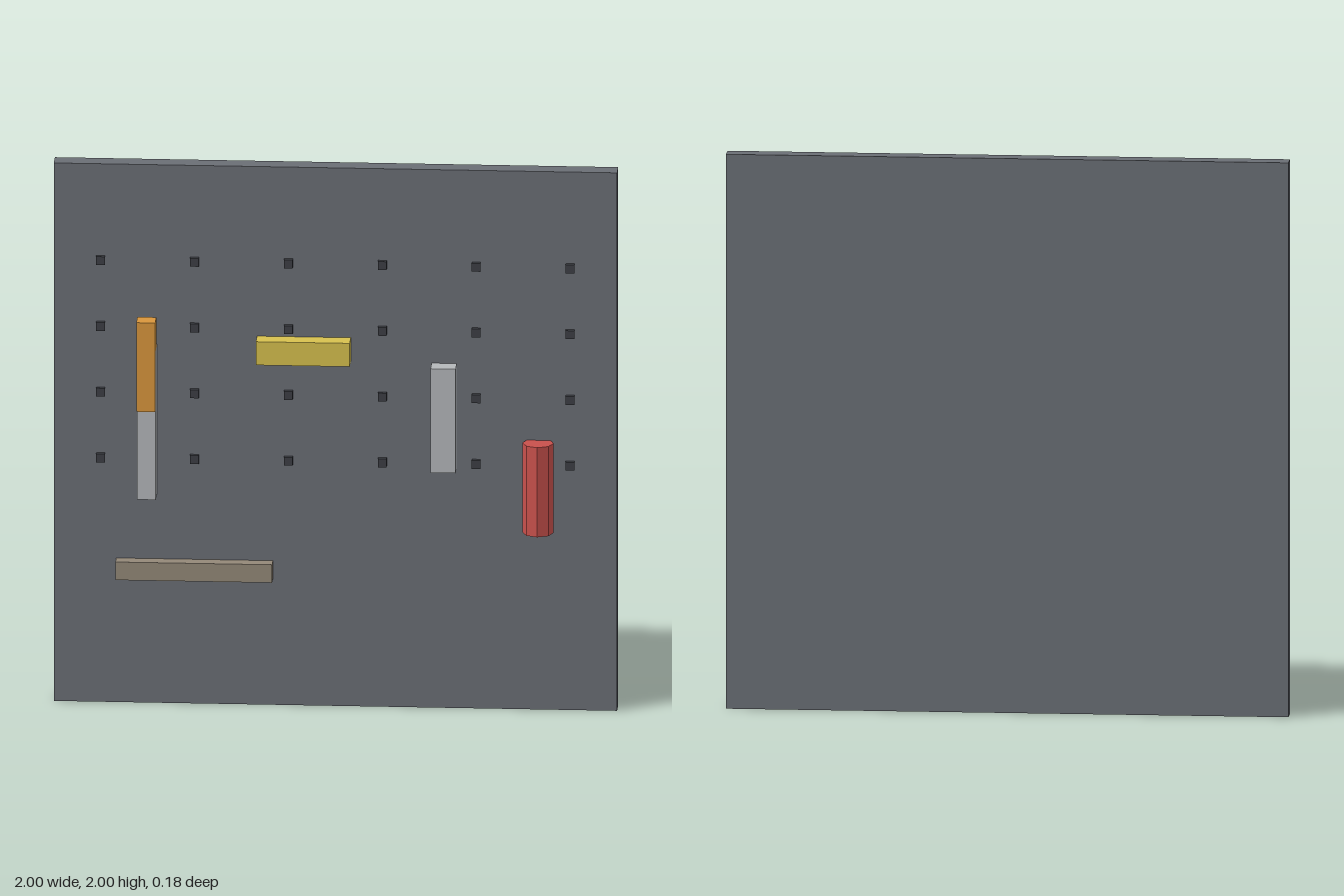
import * as THREE from 'three';

export function createModel() {
  const group = new THREE.Group();
  const face = -0.021; // front plane of the board

  const add = (name, geometry, color, x, y, z) => {
    const material = new THREE.MeshStandardMaterial({ color, flatShading: true });
    const mesh = new THREE.Mesh(geometry, material);
    mesh.name = name;
    mesh.position.set(x, y, z);
    group.add(mesh);
  };
  const box = (name, color, [w, h, d], x, y, z) =>
    add(name, new THREE.BoxGeometry(w, h, d), color, x, y, z);

  // Wall board
  box('board', 0x6a6e75, [2, 2, 0.067], 0, 1, face - 0.0335);

  // Grid of small square pegs, half sunk into the board
  for (let row = 0; row < 4; row++) {
    for (let col = 0; col < 6; col++) {
      box('peg', 0x3c3e44, [0.031, 0.031, 0.033], (col - 2.5) / 3, 1.644 - row * 0.2445, face);
    }
  }

  // Tool with an orange grip in front of a grey shaft
  box('toolShaft', 0xb4b7ba, [0.067, 0.556, 0.078], -0.667, 1.056, 0.016);
  box('toolGrip', 0xd8963c, [0.067, 0.331, 0.067], -0.667, 1.281, 0.056);

  // Yellow and silver block tools
  box('yellowTool', 0xd6c04e, [0.333, 0.087, 0.067], -0.112, 1.326, 0.0115);
  box('silverTool', 0xb4b7ba, [0.089, 0.387, 0.067], 0.386, 1.087, 0.0115);

  // Eight-sided red canister
  add('canister', new THREE.CylinderGeometry(0.0555, 0.0555, 0.333, 8), 0xc8504c, 0.721, 0.834, 0.011);

  // Narrow shelf
  box('shelf', 0x938878, [0.556, 0.067, 0.048], -0.5, 0.502, 0.003);

  return group;
}
